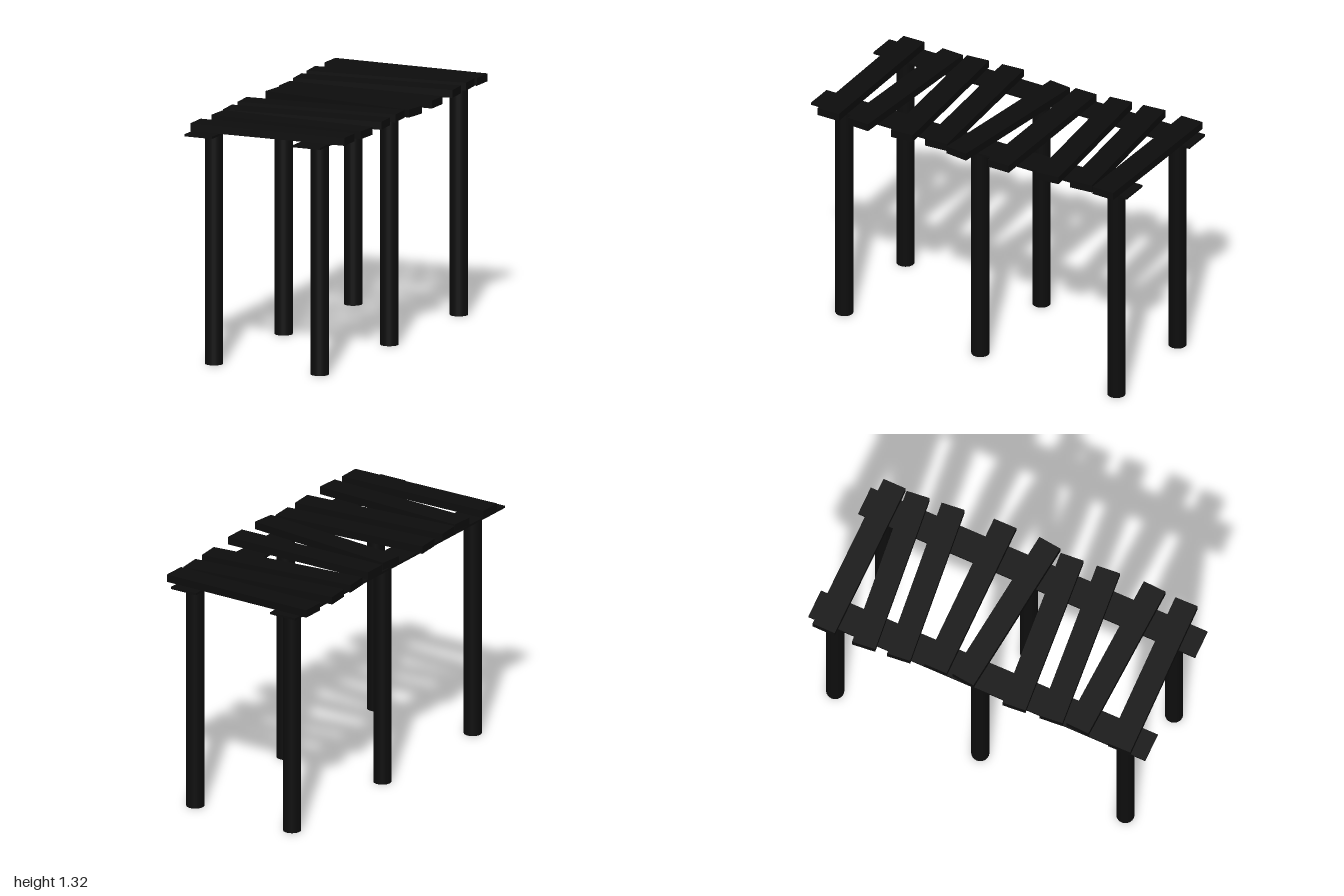
import * as THREE from 'three';

export function createModel() {
  const model = new THREE.Group();
  model.name = 'plankWalkway';
  const wood = new THREE.MeshStandardMaterial({ color: 0x0d0d0d });

  const add = (parent, name, geometry, x, y, z, turn = 0) => {
    const mesh = new THREE.Mesh(geometry, wood);
    mesh.name = name;
    mesh.position.set(x, y, z);
    mesh.rotation.y = turn;
    parent.add(mesh);
  };

  // Supporting frame, turned about one degree
  const frame = new THREE.Group();
  frame.name = 'frame';
  frame.position.set(-0.027, 0, -0.027);
  frame.rotation.y = -0.0175;
  model.add(frame);

  // Three pairs of round posts
  const post = new THREE.CylinderGeometry(0.049, 0.049, 1.27, 24);
  for (const x of [-0.315, 0.315]) {
    for (const z of [-0.855, 0, 0.855]) add(frame, 'post', post, x, 0.635, z);
  }

  // Thin flat rails lying on the posts
  const rail = new THREE.BoxGeometry(0.163, 0.012, 1.985);
  add(frame, 'rail', rail, -0.332, 1.274, 0.024);
  add(frame, 'rail', rail, 0.314, 1.274, 0.024);

  // Crooked planks: x, z, slope from left to right
  const plank = new THREE.BoxGeometry(0.91, 0.043, 0.131);
  const planks = [
    [-0.013, -0.884, 0.023],
    [-0.018, -0.696, -0.082],
    [-0.005, -0.497, -0.082],
    [0.015, -0.246, 0.014],
    [0.013, -0.034, 0.13],
    [-0.016, 0.193, -0.06],
    [-0.005, 0.402, -0.064],
    [0.005, 0.611, 0.064],
    [-0.008, 0.831, 0],
  ];
  for (const [x, z, slope] of planks) {
    add(model, 'plank', plank, x, 1.3015, z, -Math.atan(slope));
  }

  return model;
}
